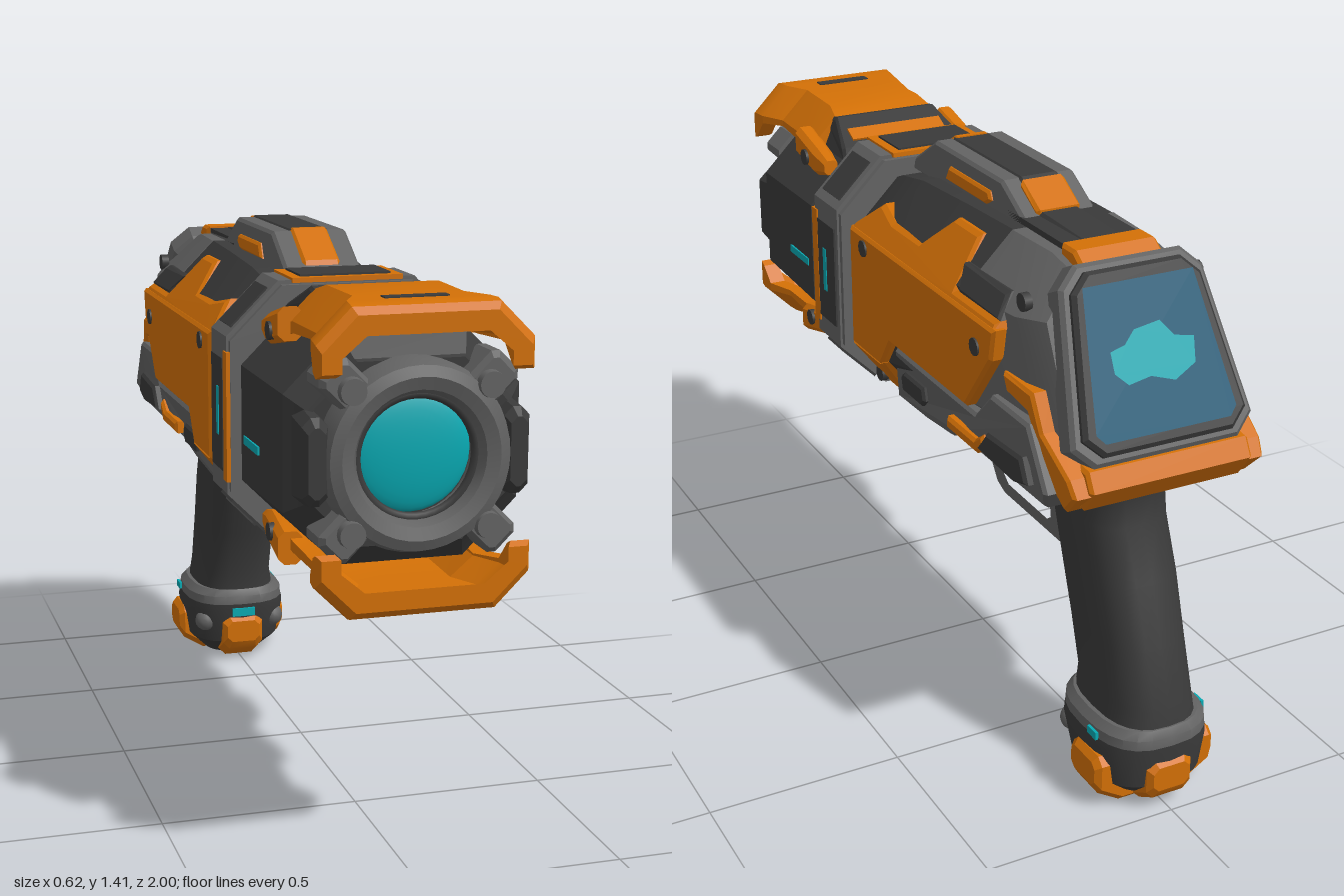
import * as THREE from 'three';
import { toCreasedNormals } from 'three/addons/utils/BufferGeometryUtils.js';

const paint = (name, color) => {
  const m = new THREE.MeshStandardMaterial({ color });
  m.name = name;
  return m;
};

export function createModel() {
  const root = new THREE.Group();
  root.name = 'sciFiPistol';
  const orange = paint('orange', 0xd37006), dark = paint('charcoal', 0x3a3a3a), grey = paint('grey', 0x636363);
  const cyan = paint('cyan', 0x08a9b2), blue = paint('screenBlue', 0x085774);
  const CY = 1.005; // barrel axis height

  const add = (name, geo, mat, x = 0, y = 0, z = 0, parent = root) => {
    const m = new THREE.Mesh(geo, mat);
    m.name = name;
    m.position.set(x, y, z);
    parent.add(m);
    return m;
  };
  const box = (name, w, h, d, mat, x, y, z, parent) => add(name, new THREE.BoxGeometry(w, h, d), mat, x, y, z, parent);

  // Skin over loops of points; even loop lengths are capped by strips
  const loft = (loops, crease = 0.5) => {
    const out = [], n = loops[0].length;
    const quad = (a, b, c, d) => out.push(...a, ...b, ...c, ...a, ...c, ...d);
    for (let i = 0; i < loops.length - 1; i++)
      for (let j = 0; j < n; j++) {
        const k = (j + 1) % n;
        quad(loops[i][j], loops[i][k], loops[i + 1][k], loops[i + 1][j]);
      }
    const first = loops[0], last = loops[loops.length - 1];
    for (let j = 0; j < n / 2 - 1; j++) {
      quad(last[j], last[j + 1], last[n - 2 - j], last[n - 1 - j]);
      quad(first[n - 1 - j], first[n - 2 - j], first[j + 1], first[j]);
    }
    const g = new THREE.BufferGeometry();
    g.setAttribute('position', new THREE.Float32BufferAttribute(out, 3));
    g.computeVertexNormals();
    return toCreasedNormals(g, crease);
  };
  // Chamfered rectangle at depth z, optionally leaning by slope k
  const oct = (z, w, b, t, c, k = 0) => [[w, b + c], [w, t - c], [w - c, t], [c - w, t], [-w, t - c], [-w, b + c], [c - w, b], [w - c, b]]
    .map(([x, y]) => [x, y, z + k * (y - 1.1)]);
  // Arched shell cross-section
  const arch = (z, w, b, t, c = 0.08, s = 0.045) => [[w, b], [w, t - c], [w - c, t], [c - w, t], [-w, t - c], [-w, b],
    [s - w, b], [s - w, t - c - 0.012], [c - w + 0.02, t - s], [w - c - 0.02, t - s], [w - s, t - c - 0.012], [w - s, b]].map(([x, y]) => [x, y, z]);
  // Rounded loop lying flat at height y
  const oval = (y, zc, hz, hw, tilt = 0, p = 0.75) => Array.from({ length: 24 }, (_, i) => {
    const a = i / 24 * Math.PI * 2, s = Math.sin(a), c = Math.cos(a);
    const dz = hz * Math.sign(c) * Math.abs(c) ** p;
    return [hw * Math.sign(s) * Math.abs(s) ** p, y + dz * tilt, zc + dz];
  });
  // Side profile of [z, y] points extruded across x
  const side = (name, pts, w, mat, x = 0, bend = null, hole = null) => {
    const v = (a) => a.map(([z, y]) => new THREE.Vector2(z, y));
    const shape = new THREE.Shape(v(pts));
    if (hole) shape.holes.push(new THREE.Path(v(hole)));
    const b = Math.min(0.008, w / 3);
    const g = new THREE.ExtrudeGeometry(shape, { depth: w - 2 * b, bevelThickness: b, bevelSize: b, bevelOffset: -b, bevelSegments: 1 });
    g.translate(0, 0, b - w / 2).rotateY(-Math.PI / 2).translate(x, 0, 0);
    if (bend) {
      const p = g.attributes.position;
      for (let i = 0; i < p.count; i++) p.setX(i, bend(p.getX(i), p.getY(i)));
      g.computeVertexNormals();
    }
    return add(name, g, mat);
  };
  const bolt = (name, x, y, z, parent) => add(name, new THREE.CylinderGeometry(0.022, 0.022, 0.02, 12).rotateZ(Math.PI / 2), dark, x, y, z, parent);

  // Body shell
  add('body', loft([oct(-0.42, 0.265, 0.8, 1.335, 0.13), oct(-0.2, 0.27, 0.77, 1.33, 0.13), oct(0.05, 0.275, 0.72, 1.32, 0.13), oct(0.2, 0.265, 0.7, 1.29, 0.13), oct(0.25, 0.25, 0.72, 1.27, 0.12)]), dark);
  add('rearBody', loft([oct(-0.79, 0.215, 0.88, 1.315, 0.09, 0.48), oct(-0.69, 0.25, 0.83, 1.335, 0.12, 0.4), oct(-0.42, 0.268, 0.8, 1.335, 0.13)]), grey);
  box('rearSpine', 0.2, 0.03, 0.3, dark, 0, 1.335, -0.47);
  side('rearSpineCap', [[-0.6, 1.355], [-0.66, 1.355], [-0.71, 1.32], [-0.71, 1.28], [-0.6, 1.3]], 0.22, orange);

  // Lower frame, trigger guard and trigger
  side('lowerFrame', [[0.1, 0.71], [-0.05, 0.92], [-0.5, 0.92], [-0.58, 1.0], [-0.76, 1.0], [-0.85, 0.86], [-0.8, 0.8], [-0.33, 0.79], [-0.27, 0.75], [-0.1, 0.72]],
    0.56, grey, 0, (x, y) => x * (1 - Math.max(0, 0.86 - y) * 1.8));
  side('triggerGuard', [[0, 0.76], [-0.1, 0.72], [-0.15, 0.67], [-0.185, 0.6], [-0.215, 0.56], [-0.26, 0.542], [-0.57, 0.54], [-0.6, 0.6], [-0.56, 0.8], [-0.2, 0.8]], 0.14, grey, 0, null,
    [[-0.22, 0.745], [-0.215, 0.68], [-0.24, 0.605], [-0.28, 0.575], [-0.49, 0.572], [-0.515, 0.59], [-0.49, 0.75]]);
  side('trigger', [[-0.42, 0.79], [-0.44, 0.72], [-0.43, 0.66], [-0.398, 0.612], [-0.425, 0.608], [-0.465, 0.66], [-0.48, 0.73], [-0.48, 0.79]], 0.06, orange);

  // Draped side panels and their fittings
  for (const s of [1, -1]) {
    const x = s * 0.276;
    side('sidePanel', [[0.19, 1.18], [0.19, 0.85], [0.01, 0.85], [-0.05, 0.935], [-0.48, 0.935], [-0.61, 1.1], [-0.625, 1.18]], 0.04, orange, x);
    side('sidePanelTop', [[0.19, 1.16], [0.19, 1.185], [0.12, 1.25], [0.02, 1.23], [-0.14, 1.23], [-0.21, 1.305], [-0.34, 1.305], [-0.39, 1.195], [-0.61, 1.195], [-0.62, 1.16]],
      0.04, orange, x, (v, y) => v - s * Math.max(0, y - 1.17) * 0.85);
    side('sidePanelTail', [[0.19, 0.86], [0.19, 0.73], [0.17, 0.71], [0.105, 0.71], [0, 0.86]], 0.04, orange, x, (v, y) => v - s * Math.max(0, 0.85 - y) * 0.8);
    [[0.291, 1.145, 0.1], [0.291, 1.11, -0.535], [0.22, 0.755, 0.165], [0.228, 1.25, -0.65]].forEach(([bx, y, z]) => bolt('panelBolt', s * bx, y, z));
    side('rearInset', [[-0.35, 1.25], [-0.58, 1.25], [-0.61, 1.195], [-0.4, 1.195]], 0.03, dark, s * 0.265, (v, y) => v - s * (y - 1.19) * 0.8);
    side('frameSlot', [[-0.07, 0.85], [-0.09, 0.865], [-0.2, 0.865], [-0.21, 0.83], [-0.19, 0.81], [-0.08, 0.81]], 0.02, dark, s * 0.266);
    side('gripInset', [[-0.52, 0.84], [-0.57, 0.9], [-0.74, 0.91], [-0.77, 0.85], [-0.7, 0.83]], 0.03, dark, s * 0.272);
    side('lowerStrip', [[-0.33, 0.842], [-0.48, 0.842], [-0.52, 0.87], [-0.53, 0.845], [-0.49, 0.808], [-0.33, 0.808]], 0.03, orange, s * 0.258);
    side('rearTrim', [[-0.62, 1.075], [-0.76, 1.075], [-0.8, 0.99], [-0.91, 0.92], [-0.935, 0.88], [-0.88, 0.825], [-0.8, 0.885], [-0.74, 1.02], [-0.64, 1.03]], 0.06, orange, s * 0.24,
      (v, y) => v - s * Math.max(0, 1.02 - y) * 0.12);
  }
  side('rearLowerTrim', [[-0.78, 0.95], [-0.92, 0.935], [-0.945, 0.89], [-0.9, 0.83], [-0.82, 0.85]], 0.43, orange);

  // Top rail
  side('topRail', [[0.21, 1.3], [0.2, 1.335], [0.075, 1.412], [-0.29, 1.412], [-0.4, 1.35], [-0.62, 1.345], [-0.62, 1.3]], 0.2, grey);
  side('railInset', [[0.07, 1.3], [0.07, 1.416], [-0.295, 1.416], [-0.4, 1.358], [-0.6, 1.352], [-0.6, 1.3]], 0.11, dark);
  side('railFrontAccent', [[0.205, 1.32], [0.19, 1.35], [0.075, 1.419], [0.06, 1.419], [0.06, 1.32]], 0.1, orange);
  side('railRearAccent', [[-0.31, 1.34], [-0.31, 1.413], [-0.4, 1.363], [-0.4, 1.34]], 0.12, orange);
  for (const s of [1, -1])
    side('railSideAccent', [[0.0, 1.333], [-0.02, 1.372], [-0.24, 1.372], [-0.25, 1.35], [-0.22, 1.333]], 0.02, orange, s * 0.1);

  // Rear display, facing back along the slanted end
  const display = new THREE.Group();
  display.name = 'rearDisplay';
  display.rotation.set(-0.46, Math.PI, 0, 'YXZ');
  display.position.set(0, 1.13, -0.793);
  root.add(display);
  const plate = (name, t, b, h, c, depth, z, mat) => {
    const s = new THREE.Shape([[c - b, -h], [b - c, -h], [b, c - h], [t, h - c], [t - c, h], [c - t, h], [-t, h - c], [-b, c - h]].map((p) => new THREE.Vector2(...p)));
    add(name, new THREE.ExtrudeGeometry(s, { depth, bevelSize: 0.01, bevelThickness: 0.01, bevelOffset: -0.01, bevelSegments: 1 }), mat, 0, 0, z, display);
  };
  plate('displayFrame', 0.19, 0.24, 0.228, 0.05, 0.05, -0.03, grey);
  plate('displayBezel', 0.17, 0.215, 0.207, 0.045, 0.02, 0.02, dark);
  const flat = (name, pts, mat, z) => add(name, new THREE.ShapeGeometry(new THREE.Shape(pts.map((p) => new THREE.Vector2(...p)))), mat, 0, 0, z, display);
  flat('displayScreen', [[-0.185, -0.155], [-0.165, -0.178], [0.165, -0.178], [0.185, -0.155], [0.145, 0.172], [-0.145, 0.172]], blue, 0.052);
  flat('displayGlow', [[-0.11, -0.03], [-0.08, -0.06], [-0.02, -0.05], [0.04, -0.07], [0.1, -0.04], [0.11, 0.02], [0.06, 0.03], [0.03, 0.07], [-0.04, 0.06], [-0.07, 0.03], [-0.11, 0.02]], cyan, 0.055);

  // Collar ring
  add('collar', loft([oct(0.255, 0.303, 0.682, 1.332, 0.13), oct(0.405, 0.303, 0.682, 1.332, 0.13)]), grey);
  for (const z of [0.24, 0.4])
    add('collarRim', loft([oct(z, 0.297, 0.69, 1.322, 0.13), oct(z + 0.02, 0.297, 0.69, 1.322, 0.13)]), grey);
  box('collarCap', 0.28, 0.012, 0.17, orange, 0, CY + 0.327, 0.33);
  for (const s of [1, -1]) {
    box('collarPlate', 0.23, 0.02, 0.13, dark, 0, CY + s * 0.328, 0.33);
    box('collarSideStrip', 0.012, 0.32, 0.034, orange, s * 0.301, CY, 0.402);
    box('collarSidePlate', 0.02, 0.28, 0.11, dark, s * 0.298, CY, 0.325);
    box('collarLight', 0.008, 0.12, 0.02, cyan, s * 0.306, 1.01, 0.335);
    for (const t of [1, -1]) {
      const m = box('collarCornerPlate', 0.13, 0.012, 0.11, dark, s * 0.238, CY + t * 0.26, 0.33);
      m.rotation.z = -s * t * Math.PI / 4;
    }
  }

  // Barrel
  add('barrel', loft([oct(0.4, 0.235, 0.77, 1.24, 0.11), oct(0.475, 0.235, 0.77, 1.24, 0.11), oct(0.48, 0.285, 0.735, 1.275, 0.13), oct(0.83, 0.28, 0.74, 1.27, 0.13), oct(0.88, 0.24, 0.79, 1.22, 0.11), oct(0.89, 0.235, 0.795, 1.215, 0.11)], 0.3), dark);
  for (const s of [1, -1]) box('barrelLight', 0.008, 0.02, 0.13, cyan, s * 0.284, 0.97, 0.575);

  // Muzzle ring, clamps and lens
  const ring = [[0.22, 0], [0.22, 0.05], [0.21, 0.08], [0.185, 0.09], [0.155, 0.08], [0.14, 0.05], [0.14, 0]].map((p) => new THREE.Vector2(...p));
  add('muzzleRing', toCreasedNormals(new THREE.LatheGeometry(ring, 40).rotateX(Math.PI / 2), 0.6), grey, 0, CY, 0.88);
  add('muzzleLiner', new THREE.TorusGeometry(0.141, 0.012, 8, 40), dark, 0, CY, 0.925);
  add('lens', new THREE.SphereGeometry(0.14, 32, 8, 0, Math.PI * 2, 0, Math.PI / 2).scale(1, 0.2, 1).rotateX(Math.PI / 2), cyan, 0, CY + 0.003, 0.889);
  for (const s of [1, -1]) {
    add('muzzleSideBlock', loft([oct(0.85, 0.03, -0.11, 0.11, 0.02), oct(0.93, 0.03, -0.1, 0.1, 0.02), oct(0.95, 0.02, -0.08, 0.08, 0.015)]), dark, s * 0.235, CY, 0);
    for (const t of [1, -1]) {
      const clamp = add('muzzleClamp', loft([oct(0.85, 0.055, -0.045, 0.045, 0.015), oct(0.94, 0.055, -0.045, 0.045, 0.015), oct(0.955, 0.04, -0.035, 0.035, 0.01)]), grey, s * 0.17, CY + t * 0.17, 0);
      clamp.rotation.z = s * t * Math.PI / 4;
      add('muzzleBolt', new THREE.CylinderGeometry(0.03, 0.033, 0.03, 16).rotateX(Math.PI / 2), grey, s * 0.16, CY + t * 0.16, 0.96);
    }
  }

  // Upper and lower muzzle fins
  for (const turn of [0, Math.PI]) {
    const fin = new THREE.Group();
    fin.name = turn ? 'lowerFin' : 'upperFin';
    fin.rotation.z = turn;
    fin.position.y = turn ? 2 * CY : 0;
    root.add(fin);
    add('finShell', loft([arch(0.62, 0.225, 1.23, 1.34), arch(0.68, 0.215, 1.25, 1.357), arch(0.86, 0.21, 1.26, 1.357), arch(0.93, 0.245, 1.255, 1.357), arch(0.965, 0.25, 1.21, 1.357), arch(0.985, 0.25, 1.2, 1.352), arch(1, 0.24, 1.21, 1.335)], 0.3), orange, 0, 0, 0, fin);
    for (const s of [1, -1]) {
      const prong = loft([oct(0.49, 0.02, 1.22, 1.26, 0.01), oct(0.55, 0.028, 1.205, 1.28, 0.015), oct(0.67, 0.03, 1.23, 1.31, 0.015)]);
      add('finProng', prong, orange, s * 0.217, 0, 0, fin);
      bolt('finBolt', s * 0.243, 1.245, 0.6, fin);
    }
    fin.add(side('finMount', [[0.68, 1.33], [0.6, 1.345], [0.49, 1.29], [0.48, 1.25], [0.68, 1.25]], 0.36, dark, 0, (x, y) => x * (y > 1.3 ? 0.85 : 1)));
    box('finMountStrip', 0.28, 0.008, 0.045, orange, 0, 1.312, 0.53, fin).rotation.x = -0.46;
    box('finSlot', 0.15, 0.008, 0.03, dark, 0, 1.356, 0.905, fin);
  }

  // Grip
  add('grip', loft([oval(0.2, -0.815, 0.165, 0.125), oval(0.28, -0.81, 0.16, 0.112), oval(0.42, -0.765, 0.16, 0.112), oval(0.57, -0.715, 0.16, 0.115), oval(0.7, -0.665, 0.155, 0.115), oval(0.78, -0.645, 0.165, 0.115), oval(0.86, -0.66, 0.18, 0.12)], 0.9), dark);
  // Grip base with padded faces
  add('gripBase', loft([oval(0.02, -0.83, 0.1, 0.09, -0.08), oval(0.07, -0.825, 0.155, 0.14, -0.05), oval(0.17, -0.815, 0.175, 0.155), oval(0.21, -0.815, 0.175, 0.145)], 0.6), dark);
  add('gripBaseCollar', loft([oval(0.19, -0.815, 0.178, 0.15), oval(0.215, -0.815, 0.177, 0.148), oval(0.235, -0.815, 0.165, 0.13)], 0.6), grey);
  const pad = (name, w, z, angle, reach) => {
    const g = loft([oct(-0.03, w, 0.008, 0.14, 0.02), oct(reach - 0.075, w, 0.008, 0.15, 0.02), oct(reach - 0.015, w, 0.045, 0.15, 0.02), oct(reach, w - 0.012, 0.07, 0.135, 0.015)]);
    add(name, g, orange, 0, 0, z).rotation.y = angle;
  };
  pad('frontPad', 0.062, -0.82, 0, 0.182);
  pad('backPad', 0.062, -0.82, Math.PI, 0.175);
  for (const s of [1, -1]) {
    pad('sidePad', 0.068, -0.855, s * Math.PI / 2, 0.167);
    add('baseBolt', new THREE.SphereGeometry(0.033, 12, 8), grey, s * 0.106, 0.13, -0.7);
    box('baseSideLight', 0.008, 0.02, 0.04, cyan, s * 0.15, 0.2, -0.87);
  }
  box('baseFrontLight', 0.07, 0.025, 0.008, cyan, 0, 0.165, -0.639);

  return root;
}
